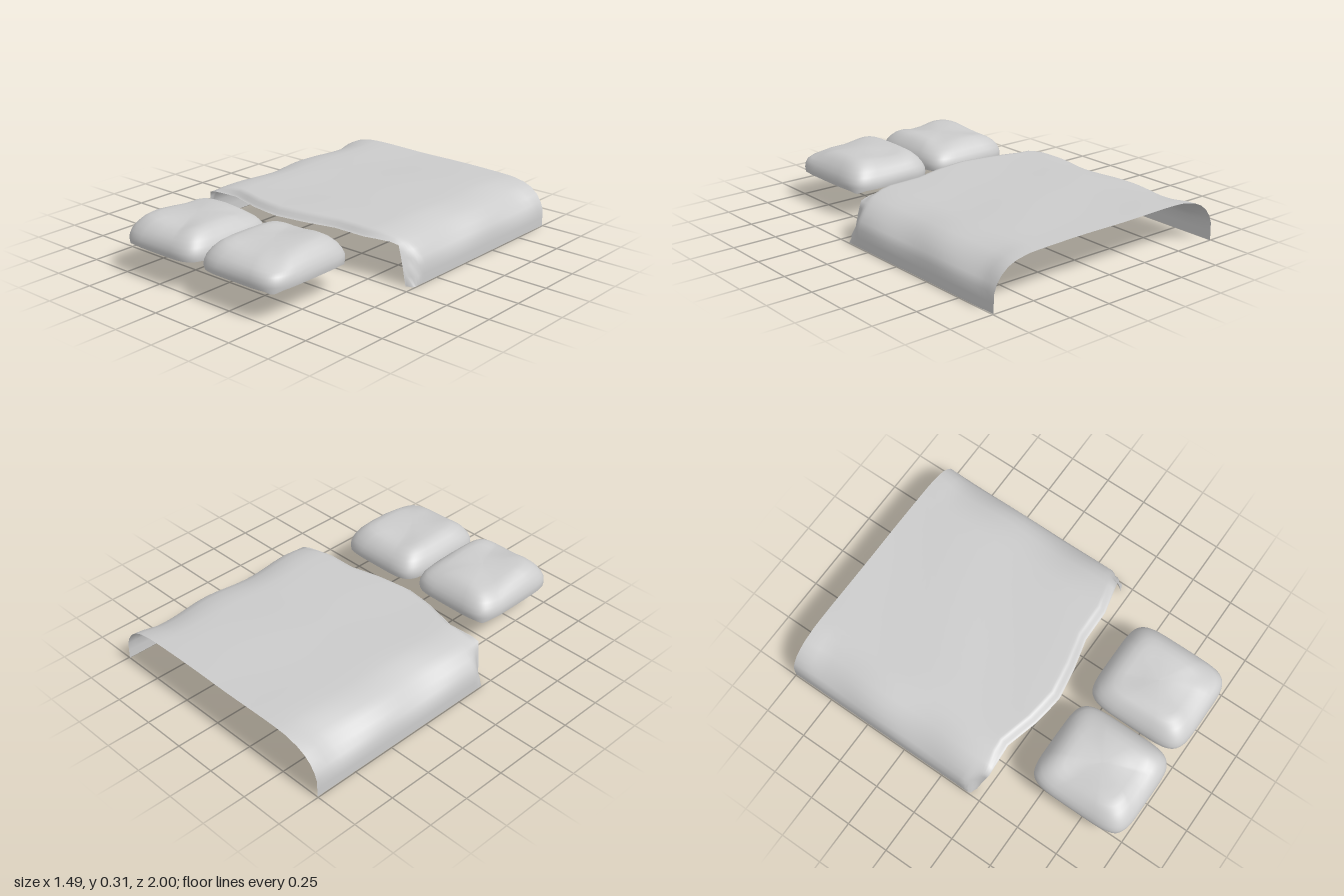
import * as THREE from 'three';

const material = new THREE.MeshStandardMaterial({ color: 0xcccccc, side: THREE.DoubleSide });
const { smoothstep, lerp } = THREE.MathUtils;

// Smooth sheet over a grid of points; fn(i, j) returns [x, y, z]
function sheet(name, rows, cols, closed, fn) {
  const positions = [], index = [];
  for (let i = 0; i < rows; i++)
    for (let j = 0; j < cols; j++) positions.push(...fn(i, j));
  const spans = closed ? cols : cols - 1;
  for (let i = 0; i < rows - 1; i++)
    for (let j = 0; j < spans; j++) {
      const k = (j + 1) % cols;
      const a = i * cols + j, b = i * cols + k, c = a + cols, d = b + cols;
      index.push(a, c, b, b, c, d);
    }
  const geometry = new THREE.BufferGeometry();
  geometry.setAttribute('position', new THREE.Float32BufferAttribute(positions, 3));
  geometry.setIndex(index);
  geometry.computeVertexNormals();
  const mesh = new THREE.Mesh(geometry, material);
  mesh.name = name;
  return mesh;
}

// Piecewise linear lookup in a list of [key, value]
function lookup(table, x) {
  for (let i = 1; i < table.length; i++) {
    const [x0, y0] = table[i - 1], [x1, y1] = table[i];
    if (x <= x1) return y0 + (y1 - y0) * Math.max(0, (x - x0) / (x1 - x0));
  }
  return table[table.length - 1][1];
}

const mirrored = half => [
  ...half.map(([x, y]) => [-x, y]),
  ...half.slice(0, -1).reverse(),
];

// Blanket cross-section, and the lower, narrower one at its front edge
const drape = mirrored([
  [0.745, 0], [0.745, 0.05], [0.743, 0.1], [0.728, 0.14], [0.7, 0.18], [0.66, 0.213],
  [0.61, 0.238], [0.53, 0.256], [0.46, 0.259], [0.37, 0.26], [0.27, 0.26], [0.18, 0.26], [0.09, 0.26], [0, 0.26],
]);
const lip = mirrored([
  [0.705, 0], [0.693, 0.05], [0.682, 0.1], [0.672, 0.14], [0.662, 0.175], [0.652, 0.208],
  [0.61, 0.218], [0.53, 0.22], [0.46, 0.22], [0.37, 0.22], [0.27, 0.22], [0.18, 0.22], [0.09, 0.22], [0, 0.22],
]);
const frontLine = [
  [-0.705, 0.2], [-0.65, 0.25], [-0.46, 0.238], [-0.27, 0.29], [-0.1, 0.315],
  [0.08, 0.288], [0.27, 0.242], [0.46, 0.24], [0.65, 0.195], [0.705, 0.2],
];

function makeBlanket() {
  const rows = 41;
  return sheet('blanket', rows, drape.length, false, (i, j) => {
    const [x, y] = drape[j], [lipX, lipY] = lip[j];
    const t = 1 - (1 - i / (rows - 1)) ** 1.5;
    const z = -1 + (lookup(frontLine, lipX) + 1) * t;
    // Gentle diagonal ripples on the flat top
    const top = smoothstep(y, 0.2, 0.26);
    const ripple = 0.004 * top * (Math.sin(7 * x + 5 * z) * Math.sin(4 * z - 3 * x + 1) - 1);
    // Loose waves along both shoulders
    const shoulder = smoothstep(y, 0.08, 0.19) * smoothstep(Math.abs(x), 0.42, 0.65) * smoothstep(z, -1, -0.85);
    const fold = shoulder * (0.011 + 0.008 * Math.cos(10.5 * (z + 0.8)));
    // The sides pull in, and the top rolls over, towards the front edge
    const start = lerp(lerp(0.985, 0.92, smoothstep(y, 0, 0.12)), 0.965, smoothstep(y, 0.2, 0.25));
    const pull = smoothstep(t, start, 1);
    return [
      lerp(x - fold * Math.sign(x), lipX, pull),
      lerp(y + ripple - fold * 0.7, lipY, pull),
      z,
    ];
  });
}

// Pillow: open underneath, rounded-rectangle rings of [inset, height]
const pillowRings = [
  [0.003, 0.162], [0, 0.18], [0.002, 0.203], [0.012, 0.23], [0.03, 0.258],
  [0.055, 0.284], [0.085, 0.304], [0.12, 0.309], [0.16, 0.309], [0.2, 0.308], [0.235, 0.307], [0.268, 0.306],
];

// Each dent is [x, z, radius, depth], from the pillow's middle
function makePillow(name, side, dents) {
  const cols = 64, hx = 0.268, hz = 0.297;
  const bend = v => Math.sign(v) * Math.abs(v) ** 0.38;
  const pillow = sheet(name, pillowRings.length, cols, true, (i, j) => {
    const [inset, height] = pillowRings[i];
    const a = (j / cols) * Math.PI * 2, c = Math.cos(a), s = Math.sin(a);
    const x = bend(c) * (hx - inset), z = bend(s) * (hz - inset * hz / hx);
    let y = height;
    // Outer bottom corners sag a little
    if (i === 0 && c * side > 0) y -= 0.014 * Math.abs(Math.sin(2 * a)) ** 8;
    const soft = smoothstep(height, 0.21, 0.3);
    for (const [dx, dz, r, depth] of dents)
      y -= soft * depth * Math.exp(-((x - dx) ** 2 + (z - dz) ** 2) / (r * r));
    return [x, y, z];
  });
  pillow.position.set(side * 0.276, 0, 0.703);
  return pillow;
}

export function createModel() {
  const model = new THREE.Group();
  model.name = 'bedding';
  model.add(
    makeBlanket(),
    makePillow('leftPillow', 1, [[0.18, 0.2, 0.11, 0.03], [0, 0.2, 0.1, 0.022], [-0.05, -0.16, 0.1, 0.018]]),
    makePillow('rightPillow', -1, [[0.05, 0.19, 0.09, 0.025], [-0.18, -0.1, 0.12, 0.02], [0.16, -0.18, 0.1, 0.018]]),
  );
  return model;
}
